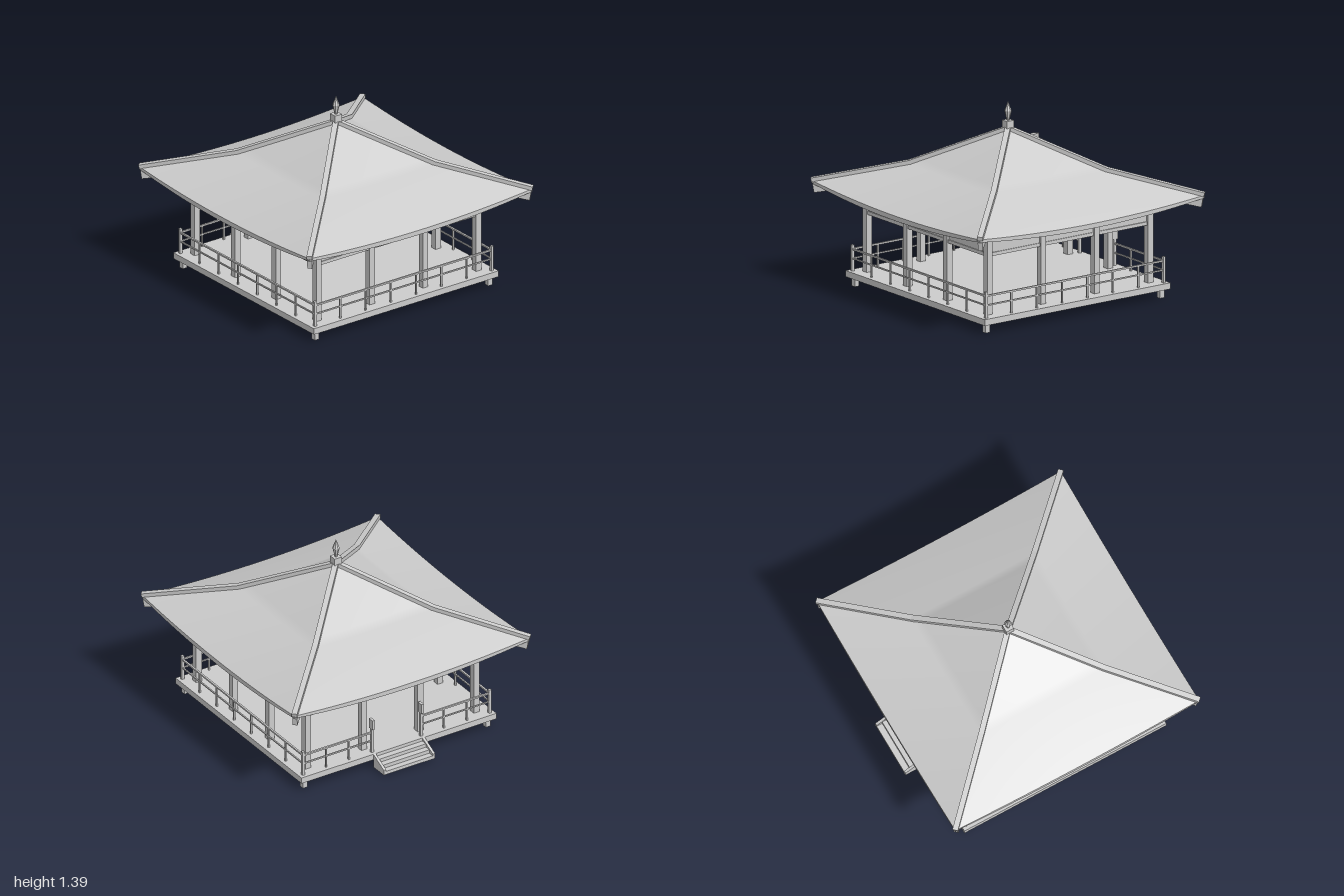
import * as THREE from 'three';
import { ParametricGeometry } from 'three/addons/geometries/ParametricGeometry.js';

const smooth = new THREE.MeshStandardMaterial({ color: 0xcccccc });
const flat = new THREE.MeshStandardMaterial({ color: 0xcccccc, flatShading: true });

function add(parent, name, geometry, material = flat) {
  const mesh = new THREE.Mesh(geometry, material);
  mesh.name = name;
  parent.add(mesh);
  return mesh;
}

// Box given by its min and max on each axis
function box(parent, name, x0, x1, y0, y1, z0, z1) {
  const mesh = add(parent, name, new THREE.BoxGeometry(x1 - x0, y1 - y0, z1 - z0));
  mesh.position.set((x0 + x1) / 2, (y0 + y1) / 2, (z0 + z1) / 2);
  return mesh;
}

// Upright square post standing at (x, z)
function post(parent, name, x, z, w, y0, y1) {
  return box(parent, name, x - w / 2, x + w / 2, y0, y1, z - w / 2, z + w / 2);
}

// Square-cut beam running between two points
function beam(parent, name, from, to, w, h) {
  const mesh = add(parent, name, new THREE.BoxGeometry(w, h, from.distanceTo(to)));
  mesh.position.copy(from).lerp(to, 0.5);
  mesh.lookAt(to);
  return mesh;
}

// Roof surface: s runs from apex to eave, u from hip to hip
const EAVE = 0.985, BEND = 0.5;
function roofPoint(u, s, drop, target) {
  const hip = s < BEND
    ? THREE.MathUtils.lerp(1.19, 0.91, s / BEND)
    : THREE.MathUtils.lerp(0.91, 0.757, (s - BEND) / (1 - BEND));
  const sag = 1 - u * u;
  target.set(u * s * EAVE, hip - 0.045 * sag * s * s - drop * (0.02 + 0.015 * sag), s * EAVE);
}

function roofSide() {
  const side = new THREE.Group();
  side.name = 'roofSide';
  add(side, 'roofSurface', new ParametricGeometry(
    (u, v, t) => roofPoint(1 - 2 * u, 0.01 + 0.99 * v, 0, t), 24, 16), smooth);
  add(side, 'roofUnderside', new ParametricGeometry(
    (u, v, t) => roofPoint(2 * u - 1, 0.01 + 0.99 * v, 1, t), 24, 16), smooth);
  add(side, 'eaveEdge', new ParametricGeometry(
    (u, v, t) => roofPoint(2 * u - 1, 1, 1 - v, t), 24, 1), smooth);
  // Hip ridge and the rafter below its tip
  const diagonal = (r, y) => new THREE.Vector3(r, y, r);
  beam(side, 'hipRidgeUpper', diagonal(0, 1.195), diagonal(0.495, 0.918), 0.04, 0.03);
  beam(side, 'hipRidgeLower', diagonal(0.485, 0.921), diagonal(0.986, 0.763), 0.04, 0.03);
  beam(side, 'cornerRafter', diagonal(0.7, 0.77), diagonal(0.975, 0.702), 0.035, 0.06);
  return side;
}

// Lintel, board and top beam of one side
function frameSide() {
  const side = new THREE.Group();
  side.name = 'frameSide';
  box(side, 'lintel', -0.7, 0.7, 0.53, 0.555, 0.69, 0.72);
  box(side, 'upperBoard', -0.7, 0.7, 0.555, 0.68, 0.697, 0.713);
  box(side, 'topBeam', -0.757, 0.757, 0.675, 0.715, 0.682, 0.728);
  for (const x of [-0.235, 0.235, 0.705]) post(side, 'column', x, 0.705, 0.047, 0.11, 0.68);
  return side;
}

// Straight run of railing at z = RAIL with evenly spaced balusters
const RAIL = 0.78;
function railing(parent, x0, x1, bays) {
  box(parent, 'topRail', x0, x1, 0.263, 0.275, RAIL - 0.007, RAIL + 0.007);
  box(parent, 'middleRail', x0, x1, 0.196, 0.206, RAIL - 0.005, RAIL + 0.005);
  for (let i = 1; i < bays; i++)
    post(parent, 'baluster', x0 + (x1 - x0) * i / bays, RAIL, 0.012, 0.11, 0.265);
}

function railSide(hasOpening) {
  const side = new THREE.Group();
  side.name = 'railSide';
  post(side, 'cornerRailPost', RAIL, RAIL, 0.02, 0.11, 0.3);
  if (!hasOpening) {
    railing(side, -RAIL, RAIL, 7);
    return side;
  }
  for (const s of [-1, 1]) {
    railing(side, Math.min(s * 0.205, s * RAIL), Math.max(s * 0.205, s * RAIL), 3);
    post(side, 'entryPost', s * 0.205, RAIL, 0.02, 0.11, 0.3);
    box(side, 'entryPostHead', s * 0.205 - 0.01, s * 0.205 + 0.01, 0.3, 0.375, RAIL - 0.023, RAIL + 0.023);
  }
  return side;
}

// Entry steps between two sloping stringers
function stairs() {
  const group = new THREE.Group();
  group.name = 'stairs';
  const profile = new THREE.Shape([[0.815, 0.005], [0.95, 0.005], [0.95, 0.045], [0.815, 0.11]]
    .map(([z, y]) => new THREE.Vector2(-z, y)));
  for (const x of [-0.215, 0.195]) {
    const stringer = add(group, 'stringer',
      new THREE.ExtrudeGeometry(profile, { depth: 0.02, bevelEnabled: false }));
    stringer.rotation.y = Math.PI / 2;
    stringer.position.x = x;
  }
  for (let i = 0; i < 3; i++)
    box(group, 'step', -0.2, 0.2, 0.005, 0.085 - i * 0.027, 0.815 + i * 0.045, 0.86 + i * 0.045);
  // The stringers are drawn facing +z after the turn
  group.children.forEach((m) => { if (m.name === 'stringer') m.scale.x = 1; });
  return group;
}

export function createModel() {
  const model = new THREE.Group();
  model.name = 'pavilion';

  // Platform and feet
  box(model, 'platform', -0.815, 0.815, 0.065, 0.11, -0.815, 0.815);
  for (const x of [-0.765, 0.765])
    for (const z of [-0.765, 0.765]) post(model, 'foot', x, z, 0.037, 0, 0.065);

  // Four like sides, with the entry at the back
  for (let i = 0; i < 4; i++) {
    for (const side of [roofSide(), frameSide(), railSide(i === 2)]) {
      side.rotation.y = i * Math.PI / 2;
      model.add(side);
    }
  }
  const steps = stairs();
  steps.rotation.y = Math.PI;
  model.add(steps);

  // Finial
  post(model, 'finialBase', 0, 0, 0.06, 1.19, 1.25);
  const lathe = (pts, sides) =>
    new THREE.LatheGeometry(pts.map(([r, y]) => new THREE.Vector2(r, y)), sides);
  add(model, 'finial', lathe([[0, 1.245], [0.01, 1.25], [0.026, 1.32], [0, 1.39]], 8));

  // Hanging lantern and its cord
  add(model, 'lantern', lathe([[0, 0.41], [0.045, 0.41], [0.052, 0.43], [0.067, 0.48],
    [0.069, 0.52], [0.062, 0.57], [0.045, 0.61], [0, 0.61]], 10));
  const cord = add(model, 'lanternCord', new THREE.CylinderGeometry(0.005, 0.005, 0.55, 6));
  cord.position.y = 0.88;
  return model;
}
